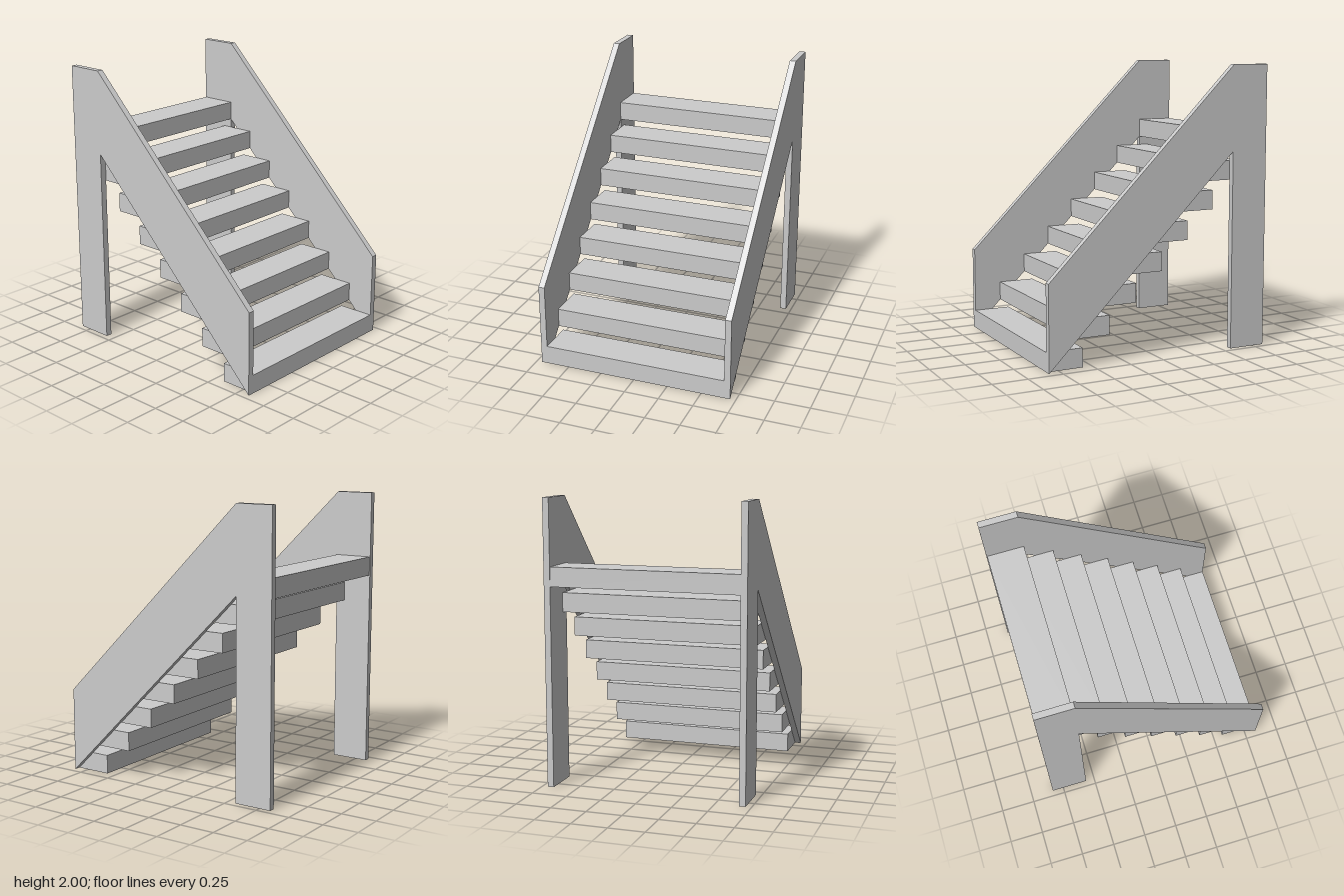
import * as THREE from 'three';

const STEPS = 8, RISE = 0.2, RUN = 0.2;
const TREAD_H = 0.135, TREAD_D = 0.265;
const INNER = 0.665, THICK = 0.045, FRONT = 0.835;

export function createModel() {
  const group = new THREE.Group();
  group.name = 'openStaircase';
  const material = new THREE.MeshStandardMaterial({ color: 0xcccccc, flatShading: true });

  // Side panel: sloping stringer and rear post in one outline, drawn as (z, y)
  const outline = new THREE.Shape([
    [FRONT, 0], [FRONT, 0.6], [-0.565, 2], [-FRONT, 2],
    [-FRONT, 0], [-0.565, 0], [-0.565, 1.4],
  ].map(([z, y]) => new THREE.Vector2(z, y)));
  const panelGeometry = new THREE.ExtrudeGeometry(outline, { depth: THICK, bevelEnabled: false });
  panelGeometry.translate(0, 0, -THICK / 2).rotateY(-Math.PI / 2);

  for (const [name, side] of [['leftSidePanel', 1], ['rightSidePanel', -1]]) {
    const panel = new THREE.Mesh(panelGeometry, material);
    panel.name = name;
    panel.position.x = side * (INNER + THICK / 2);
    group.add(panel);
  }

  // Treads between the panels, the last one level with the posts
  const treadGeometry = new THREE.BoxGeometry(INNER * 2, TREAD_H, TREAD_D);
  for (let i = 0; i < STEPS; i++) {
    const tread = new THREE.Mesh(treadGeometry, material);
    tread.name = `tread${i + 1}`;
    tread.position.set(0, i * RISE + TREAD_H / 2, FRONT - i * RUN - TREAD_D / 2);
    group.add(tread);
  }
  return group;
}
